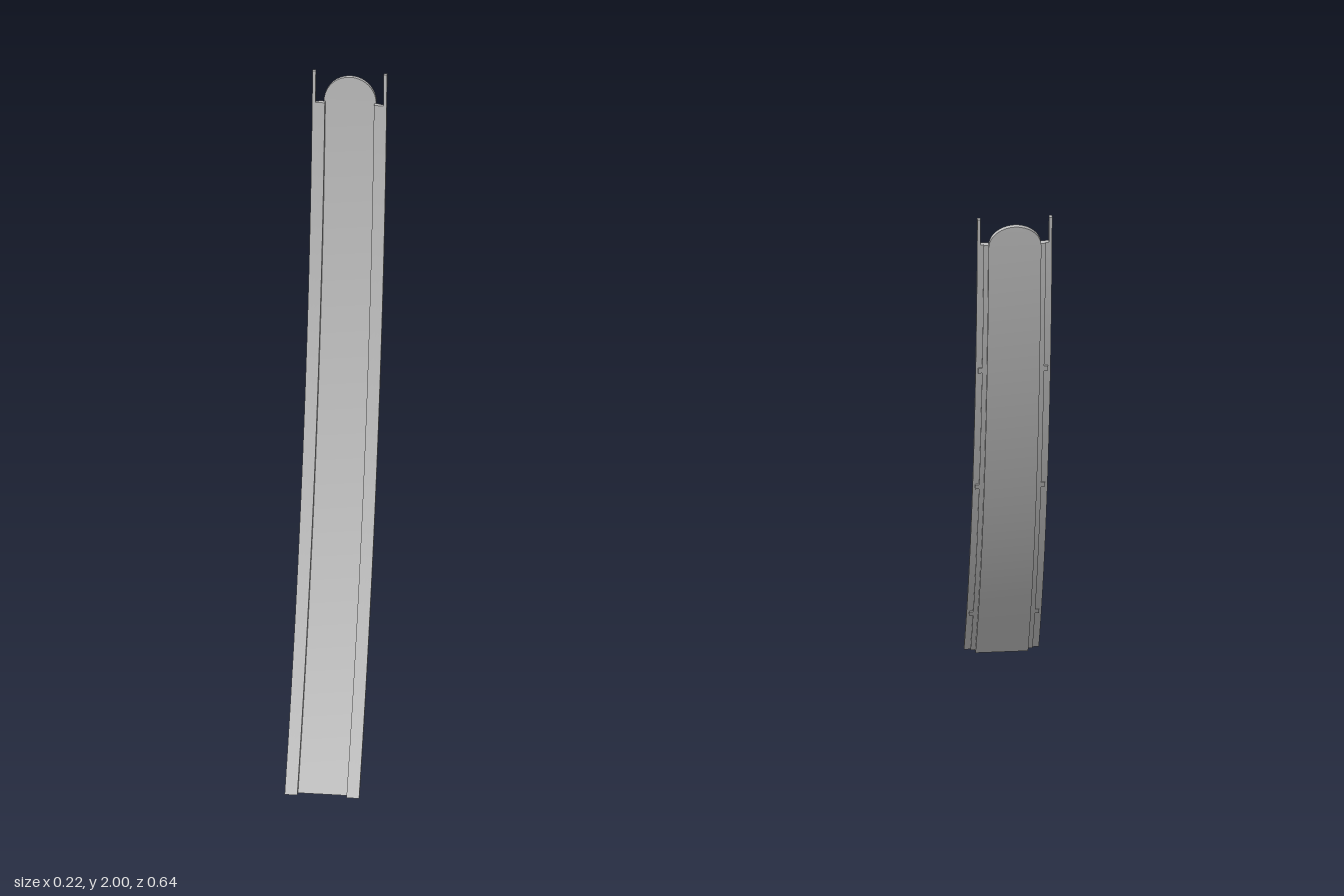
import * as THREE from 'three';

// The slat leans back along a circular arc; every part is bent onto it.
const R = 4.65, SIN0 = 0.5, COS0 = Math.sqrt(1 - SIN0 * SIN0), Z0 = 0.318;

function arcPoint(y, depth) {
  const s = SIN0 - y / R;
  const c = Math.sqrt(1 - s * s);
  return Z0 - R * (c - COS0) - depth / c; // depth is measured behind the front face
}

// Strip with rows at the given heights; halfWidth(y) may taper it.
function bentStrip(name, material, xMid, halfWidth, front, back, rows) {
  const n = rows.length - 1;
  const geo = new THREE.BoxGeometry(2, n, 1, 1, n, 1);
  const p = geo.attributes.position;
  for (let i = 0; i < p.count; i++) {
    const y = rows[Math.round(p.getY(i) + n / 2)];
    const depth = p.getZ(i) > 0 ? front : back;
    p.setXYZ(i, xMid + p.getX(i) * halfWidth(y), y, arcPoint(y, depth));
  }
  geo.computeVertexNormals();
  const mesh = new THREE.Mesh(geo, material);
  mesh.name = name;
  return mesh;
}

function spread(from, to, n) {
  return Array.from({ length: n + 1 }, (_, i) => from + (to - from) * i / n);
}

export function createModel() {
  const group = new THREE.Group();
  group.name = 'curvedSlat';
  const metal = new THREE.MeshStandardMaterial({ color: 0xc0c0c0 });
  metal.name = 'light grey';

  // Recessed centre panel ending in a round tongue
  const half = 0.0755, shoulder = 1.905;
  const rows = spread(0, shoulder, 40);
  for (let i = 1; i <= 14; i++) rows.push(shoulder + half * Math.sin(i / 14 * Math.PI / 2));
  const panelWidth = (y) => y <= shoulder ? half
    : Math.max(0.002, Math.sqrt(Math.max(0, half * half - (y - shoulder) ** 2)));
  group.add(bentStrip('centrePanel', metal, 0, panelWidth, 0.014, 0.026, rows));

  // Side flanges, mirrored left and right
  for (const side of [1, -1]) {
    const label = side > 0 ? 'left' : 'right';
    const add = (part, x0, x1, front, back, heights) => group.add(bentStrip(
      label + part, metal, side * (x0 + x1) / 2, () => (x1 - x0) / 2, front, back, heights));
    add('InnerFlange', 0.071, 0.089, 0, 0.014, spread(0, 1.905, 40));
    add('OuterFlange', 0.089, 0.098, 0, 0.010, spread(0, 1.905, 40));
    // The outer edge runs on past the shoulder as a thin prong
    add('EdgeProng', 0.098, 0.1075, 0, 0.010, spread(0, 2, 42));
    // Small stops on the back of the flange
    for (const y of [0.22, 0.88, 1.4]) {
      add('Stop', 0.089, 0.1, 0.010, 0.014, spread(y - 0.01, y + 0.01, 1));
    }
  }
  return group;
}
